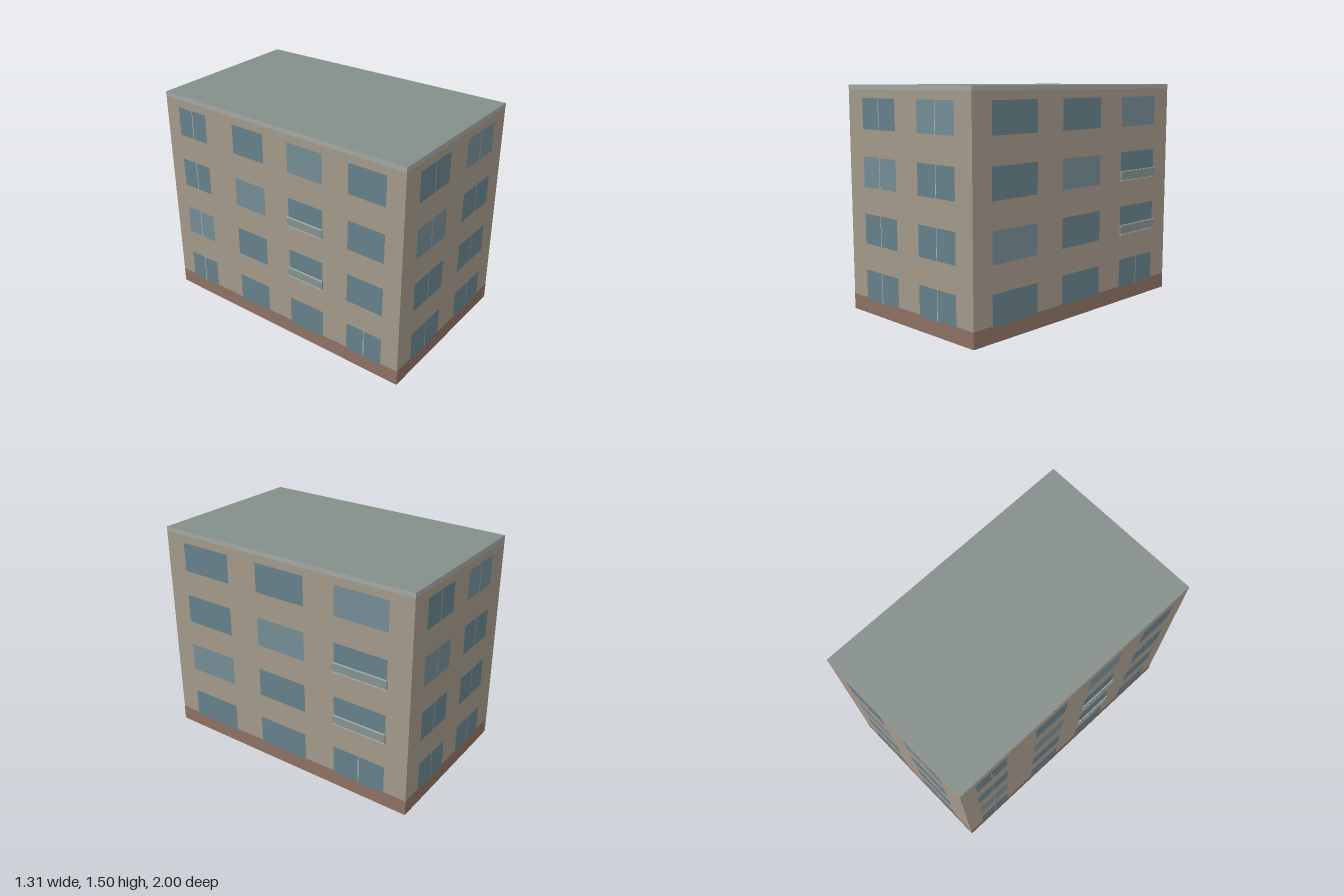
import * as THREE from 'three';

const mat = (color, side = THREE.FrontSide) =>
  new THREE.MeshStandardMaterial({ color, side, flatShading: true });
const M = {
  wall: mat(0xa3988a, THREE.DoubleSide),
  base: mat(0x8d7063),
  trim: mat(0xa2a7a3),
  roof: mat(0x858f8a, THREE.DoubleSide),
  glass: mat(0x66808a),
  paleGlass: mat(0x748c94),
  bar: mat(0xaab2ae),
  panel: mat(0x84928f),
};

const HEIGHT = 1.495, BASE = 0.105, TRIM = 0.03;
const ROWS = [0.095, 0.468, 0.841, 1.214], WINDOW_H = 0.198;

// Footprint corners [x, z], a slightly skewed quadrilateral
const FL = [-0.524, 0.998], FR = [0.652, 0.901], BR = [0.488, -0.998], BL = [-0.654, -0.888];

// Each facade runs left to right as seen from outside; cols are fractions of its length
const FACADES = [
  { name: 'front', from: FL, to: FR, cols: [[0.128, 0.413], [0.591, 0.877]], pale: 2,
    split: () => true, balcony: -1 },
  { name: 'right', from: FR, to: BR, cols: [[0.079, 0.279], [0.4, 0.597], [0.716, 0.916]], pale: 1,
    split: (r, c) => r === 0 && c === 2, balcony: 2 },
  { name: 'back', from: BR, to: BL, cols: [[0.13, 0.405], [0.57, 0.853]], pale: 2,
    split: () => true, balcony: -1, baseGap: 0.03 },
  { name: 'left', from: BL, to: FL, cols: [[0.06, 0.19], [0.315, 0.45], [0.553, 0.695], [0.795, 0.935]], pale: 1,
    split: (r, c) => c === 0 || (r === 0 && c === 3), balcony: 2 },
];

// Flat rectangle standing on a facade, from (x0, y0) to (x1, y1), z in front of the wall
function sheet(parent, name, material, x0, x1, y0, y1, z) {
  const mesh = new THREE.Mesh(new THREE.PlaneGeometry(x1 - x0, y1 - y0), material);
  mesh.position.set((x0 + x1) / 2, (y0 + y1) / 2, z);
  mesh.name = name;
  parent.add(mesh);
}

function box(parent, name, material, x0, x1, y0, y1, z0, z1) {
  const mesh = new THREE.Mesh(new THREE.BoxGeometry(x1 - x0, y1 - y0, z1 - z0), material);
  mesh.position.set((x0 + x1) / 2, (y0 + y1) / 2, (z0 + z1) / 2);
  mesh.name = name;
  parent.add(mesh);
}

// Shallow balcony: floor slab, front panel and handrail
function balcony(parent, x0, x1, y) {
  const g = new THREE.Group();
  g.name = 'balcony';
  box(g, 'balconySlab', M.bar, x0, x1, y, y + 0.007, 0.002, 0.015);
  box(g, 'balconyPanel', M.panel, x0, x1, y + 0.007, y + 0.062, 0.01, 0.013);
  box(g, 'balconyRail', M.bar, x0, x1, y + 0.062, y + 0.069, 0.009, 0.015);
  for (const x of [x0, x1 - 0.004])
    box(g, 'balconySide', M.panel, x, x + 0.004, y + 0.007, y + 0.062, 0.002, 0.01);
  parent.add(g);
}

function facade({ name, from, to, cols, pale, split, balcony: balconyCol, baseGap = 0 }) {
  const g = new THREE.Group();
  g.name = name + 'Facade';
  const dx = to[0] - from[0], dz = to[1] - from[1], len = Math.hypot(dx, dz);
  g.position.set(from[0], 0, from[1]);
  g.rotation.y = Math.atan2(-dz, dx);

  sheet(g, 'wall', M.wall, 0, len, 0, HEIGHT, 0);
  sheet(g, 'plinth', M.base, 0, len - baseGap, 0, BASE, 0.001);
  sheet(g, 'roofTrim', M.trim, 0, len, HEIGHT - TRIM, HEIGHT, 0.001);

  ROWS.forEach((y, r) => cols.forEach(([a, b], c) => {
    const x0 = a * len, x1 = b * len, mid = (x0 + x1) / 2;
    sheet(g, 'window', r - c === pale ? M.paleGlass : M.glass, x0, x1, y, y + WINDOW_H, 0.002);
    if (split(r, c)) sheet(g, 'mullion', M.bar, mid - 0.003, mid + 0.003, y, y + WINDOW_H, 0.003);
    if (c === balconyCol && (r === 1 || r === 2)) balcony(g, x0 - 0.003, x1 + 0.003, y + 0.002);
  }));
  return g;
}

export function createModel() {
  const model = new THREE.Group();
  model.name = 'apartmentBlock';
  for (const f of FACADES) model.add(facade(f));

  // Flat roof over the footprint; the underside of the building stays open
  const outline = new THREE.Shape([FL, FR, BR, BL].map(([x, z]) => new THREE.Vector2(x, -z)));
  const roof = new THREE.Mesh(new THREE.ShapeGeometry(outline), M.roof);
  roof.name = 'roof';
  roof.rotation.x = -Math.PI / 2;
  roof.position.y = HEIGHT;
  model.add(roof);
  return model;
}
